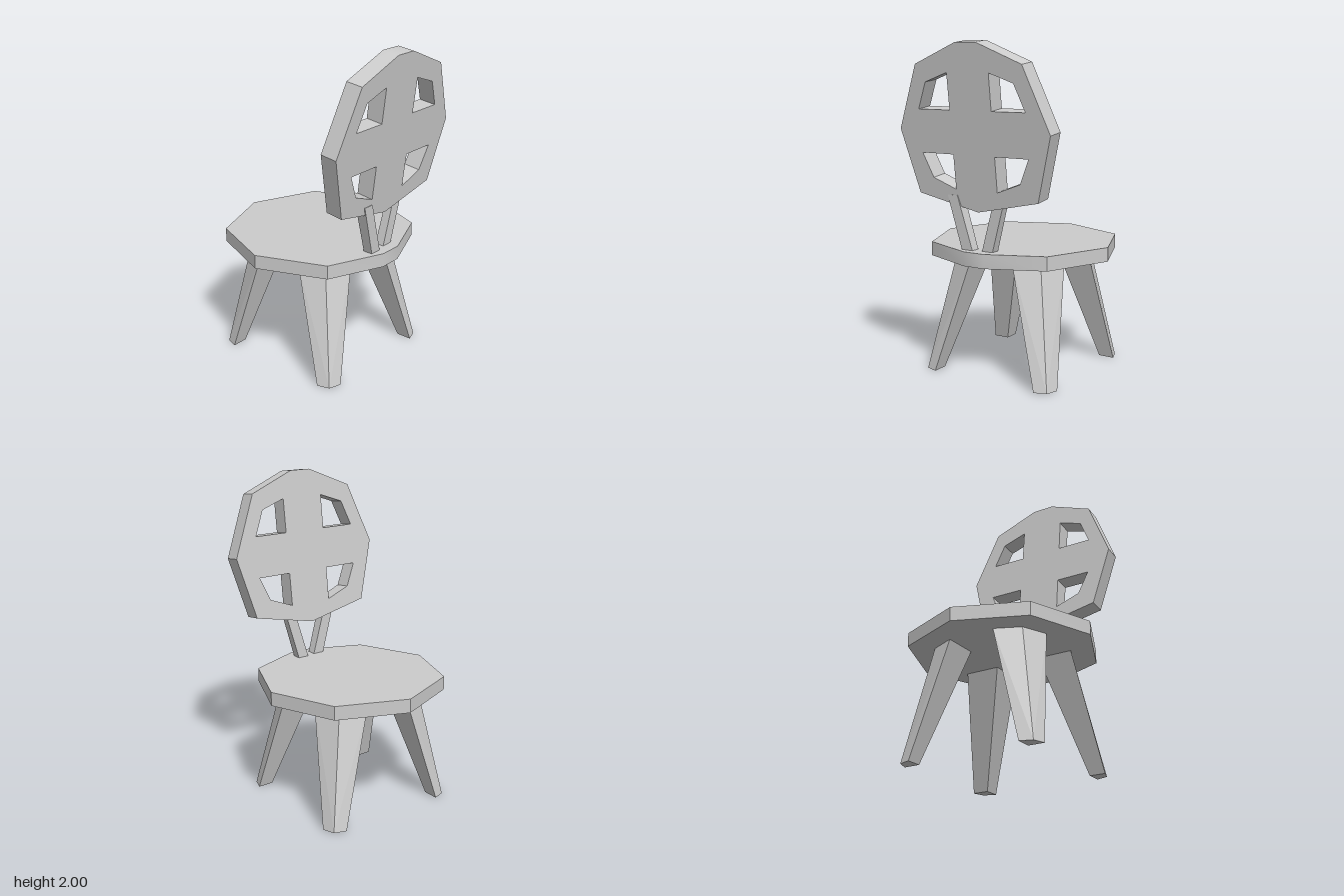
import * as THREE from 'three';
import { toCreasedNormals } from 'three/addons/utils/BufferGeometryUtils.js';
import { ConvexGeometry } from 'three/addons/geometries/ConvexGeometry.js';

const material = new THREE.MeshStandardMaterial({ color: 0xcccccc });
const toPoints = (pairs) => pairs.map(([x, y]) => new THREE.Vector2(x, y));

// Closed outline from its right half, mirrored across x = 0
function mirrored(half) {
  const left = half.filter(([x]) => x > 0).reverse().map(([x, y]) => [-x, y]);
  return toPoints([...half, ...left]);
}

function plate(shape, depth) {
  const geometry = new THREE.ExtrudeGeometry(shape, { depth, bevelEnabled: false });
  return toCreasedNormals(geometry, Math.PI / 6);
}

// Straight-sided bar between two [x, z] cross-sections
function bar(bottom, y0, top, y1) {
  return new ConvexGeometry([
    ...bottom.map(([x, z]) => new THREE.Vector3(x, y0, z)),
    ...top.map(([x, z]) => new THREE.Vector3(x, y1, z)),
  ]);
}

const rect = (x0, x1, z0, z1) => [[x0, z0], [x1, z0], [x1, z1], [x0, z1]];

export function createModel() {
  const group = new THREE.Group();
  const add = (name, geometry) => {
    const mesh = new THREE.Mesh(geometry, material);
    mesh.name = name;
    group.add(mesh);
    return mesh;
  };

  // Octagonal seat with one trimmed corner under the backrest
  const seatShape = new THREE.Shape(mirrored([
    [0.07, -0.535], [0.41, -0.394], [0.58, 0.02], [0.42, 0.43], [0, 0.6],
  ]));
  const seat = add('seat', plate(seatShape, 0.085).rotateX(-Math.PI / 2));
  seat.position.y = 0.71;

  // Four splayed, tapering legs with a blunt outer corner
  const foot = [[0.43, 0.43], [0.455, 0.355], [0.355, 0.355], [0.355, 0.455]];
  const head = [[0.302, 0.302], [0.37, 0.147], [0.147, 0.147], [0.147, 0.37]];
  for (const sx of [-1, 1]) {
    for (const sz of [-1, 1]) {
      const place = (section, shift) => section.map(([x, z]) => [sx * x, sz * z + shift]);
      const name = (sz > 0 ? 'front' : 'back') + (sx > 0 ? 'Left' : 'Right') + 'Leg';
      add(name, bar(place(foot, -0.003), 0, place(head, -0.016), 0.712));
    }
  }

  // Two slanted posts carrying the backrest
  add('rightPost', bar(rect(-0.113, -0.038, 0.425, 0.485), 0.78, rect(-0.207, -0.137, 0.43, 0.498), 1.115));
  add('leftPost', bar(rect(0.01, 0.083, 0.41, 0.468), 0.78, rect(0.105, 0.175, 0.425, 0.475), 1.11));

  // Faceted backrest leaning outward, with four cut-outs
  const backShape = new THREE.Shape(mirrored([
    [0, 0], [0.41, 0.087], [0.515, 0.47], [0.362, 0.85], [0.07, 0.97],
  ]));
  const upper = [[0.365, 0.59], [0.3, 0.747], [0.143, 0.802], [0.143, 0.59]];
  const lower = [[0.365, 0.333], [0.143, 0.333], [0.143, 0.127], [0.3, 0.187]];
  for (const hole of [upper, lower]) {
    for (const s of [-1, 1]) {
      backShape.holes.push(new THREE.Path(toPoints(hole.map(([x, y]) => [s * x, y]))));
    }
  }
  const backrest = add('backrest', plate(backShape, 0.107));
  backrest.rotation.x = 0.122;
  backrest.position.set(0, 1.037, 0.377);

  return group;
}
